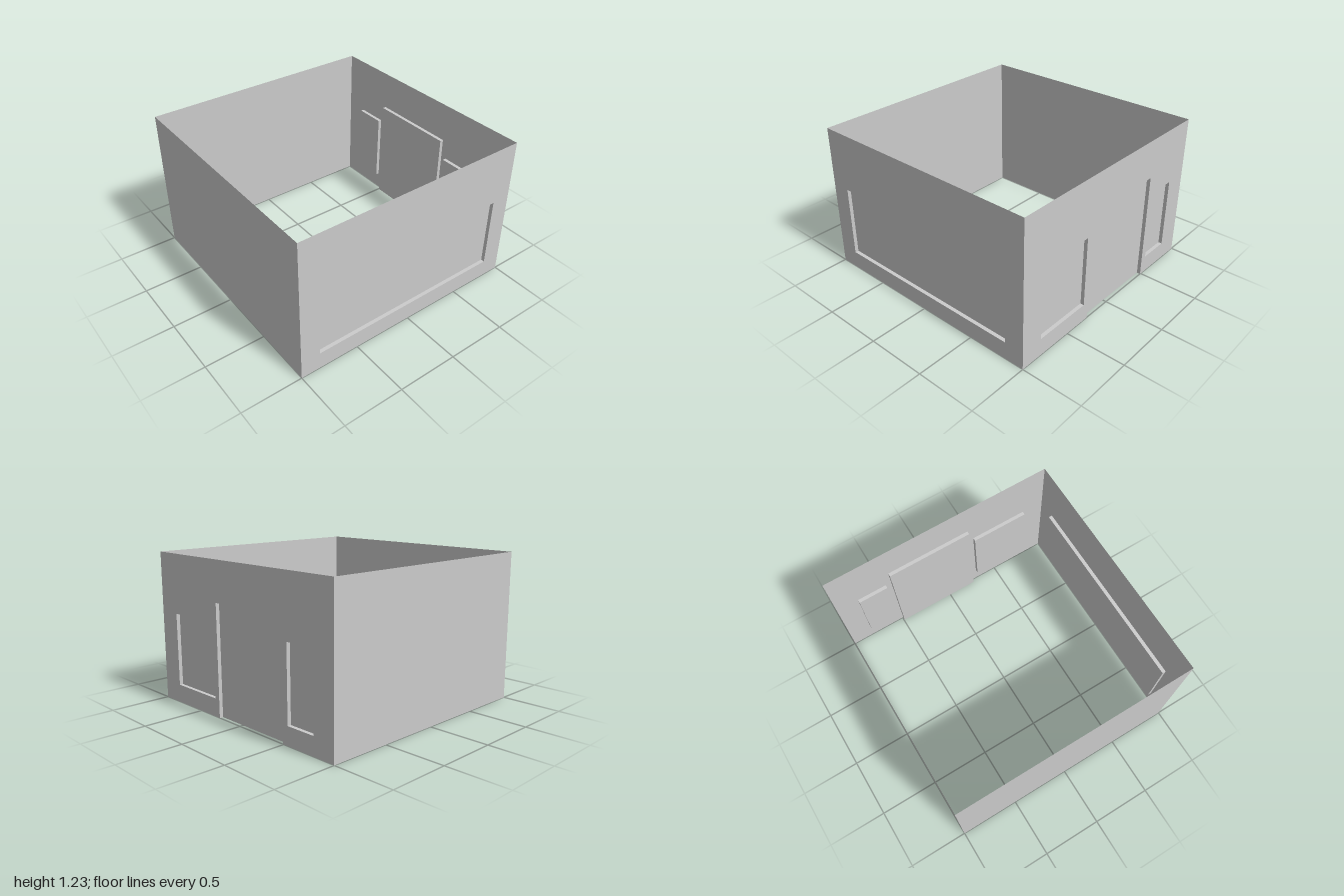
import * as THREE from 'three';

const HALF = 1, HEIGHT = 1.225, DEPTH = 0.03;
const material = new THREE.MeshStandardMaterial({ color: 0xcccccc, side: THREE.DoubleSide });

function addPlane(parent, name, w, h, position, rx = 0, ry = 0) {
  const mesh = new THREE.Mesh(new THREE.PlaneGeometry(w, h), material);
  mesh.name = name;
  mesh.position.set(...position);
  mesh.rotation.set(rx, ry, 0);
  parent.add(mesh);
}

// Shallow recess: set-back panel plus jambs, head and (above ground) sill
function makeRecess({ name, u0, u1, y0, y1 }) {
  const group = new THREE.Group();
  group.name = name;
  const w = u1 - u0, h = y1 - y0, u = (u0 + u1) / 2, y = (y0 + y1) / 2;
  const z = HALF - DEPTH / 2;
  addPlane(group, 'panel', w, h, [u, y, HALF - DEPTH]);
  addPlane(group, 'jamb', DEPTH, h, [u0, y, z], 0, Math.PI / 2);
  addPlane(group, 'jamb', DEPTH, h, [u1, y, z], 0, -Math.PI / 2);
  addPlane(group, 'head', w, DEPTH, [u, y1, z], Math.PI / 2);
  if (y0 > 0) addPlane(group, 'sill', w, DEPTH, [u, y0, z], -Math.PI / 2);
  return group;
}

// Thin wall facing +z, turned into place; openings at ground level notch its base
function makeWall(name, angle, openings = []) {
  const group = new THREE.Group();
  group.name = name;
  const shape = new THREE.Shape().moveTo(-HALF, 0);
  for (const o of openings) {
    if (o.y0 === 0) {
      shape.lineTo(o.u0, 0).lineTo(o.u0, o.y1).lineTo(o.u1, o.y1).lineTo(o.u1, 0);
    } else {
      shape.holes.push(new THREE.Path().moveTo(o.u0, o.y0).lineTo(o.u0, o.y1)
        .lineTo(o.u1, o.y1).lineTo(o.u1, o.y0).closePath());
    }
    group.add(makeRecess(o));
  }
  shape.lineTo(HALF, 0).lineTo(HALF, HEIGHT).lineTo(-HALF, HEIGHT).closePath();
  const mesh = new THREE.Mesh(new THREE.ShapeGeometry(shape), material);
  mesh.name = 'wallSurface';
  mesh.position.z = HALF;
  group.add(mesh);
  group.rotation.y = angle;
  return group;
}

export function createModel() {
  const model = new THREE.Group();
  model.name = 'openRoom';
  const sill = 0.147, lintel = 0.74;
  model.add(
    makeWall('frontWall', 0, [
      { name: 'frontWindow', u0: -0.837, u1: 0.837, y0: sill, y1: lintel },
    ]),
    makeWall('doorWall', Math.PI / 2, [
      { name: 'wideWindow', u0: -0.805, u1: -0.305, y0: sill, y1: lintel },
      { name: 'doorway', u0: -0.255, u1: 0.493, y0: 0, y1: 0.9 },
      { name: 'narrowWindow', u0: 0.545, u1: 0.805, y0: sill, y1: lintel },
    ]),
    makeWall('backWall', Math.PI),
    makeWall('sideWall', -Math.PI / 2),
  );
  return model;
}
